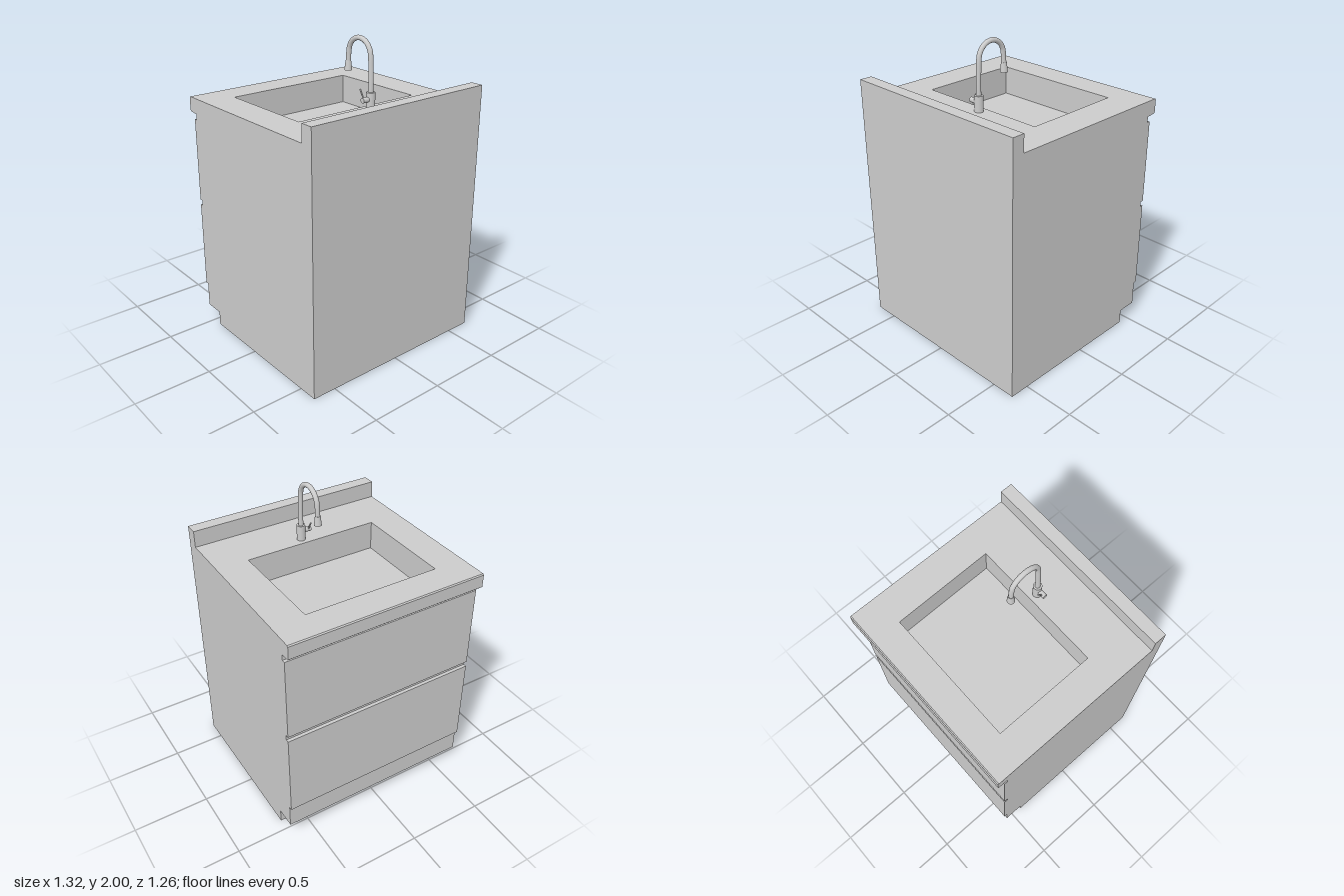
import * as THREE from 'three';

const material = new THREE.MeshStandardMaterial({ color: 0xcccccc, side: THREE.DoubleSide });
const HALF = 0.658, TOP = 1.577;

function add(group, name, geometry) {
  const mesh = new THREE.Mesh(geometry, material);
  mesh.name = name;
  group.add(mesh);
  return mesh;
}

// Flat-shaded surface from a list of four-cornered faces
function quads(faces) {
  const pos = faces.flatMap(([a, b, c, d]) => [a, b, c, a, c, d].flat());
  const g = new THREE.BufferGeometry();
  g.setAttribute('position', new THREE.Float32BufferAttribute(pos, 3));
  g.computeVertexNormals();
  return g;
}

// Side outline as [z, y], from the floor at the wall round to the toe kick
const profile = [
  [0.63, 0], [0.63, 1.687], [0.547, 1.687], [0.547, TOP],
  [-0.62, TOP], [-0.627, 1.57], [-0.627, 1.487], [-0.62, 1.48],
  [-0.558, 1.475], [-0.558, 1.437], [-0.58, 1.437], [-0.58, 0.884],
  [-0.558, 0.884], [-0.558, 0.848], [-0.58, 0.848], [-0.58, 0.26],
  [-0.558, 0.26], [-0.558, 0.095], [-0.426, 0.095], [-0.426, 0],
];
const COUNTER_SEGMENT = 3;

// Basin opening corners as [x, z]
const opening = [[-0.447, 0.24], [0.447, 0.24], [0.44, -0.43], [-0.45, -0.43]];

function cabinet() {
  const group = new THREE.Group();
  group.name = 'cabinet';

  // Back, splashback, counter edge, drawer fronts and toe kick; open underneath
  const faces = [];
  for (let i = 0; i < profile.length - 1; i++) {
    if (i === COUNTER_SEGMENT) continue;
    const [z0, y0] = profile[i], [z1, y1] = profile[i + 1];
    faces.push([[-HALF, y0, z0], [HALF, y0, z0], [HALF, y1, z1], [-HALF, y1, z1]]);
  }
  add(group, 'backAndDrawerFronts', quads(faces));

  // Side panels
  for (const s of [-1, 1]) {
    const shape = new THREE.Shape(profile.map(([z, y]) => new THREE.Vector2(-s * z, y)));
    const g = new THREE.ShapeGeometry(shape).rotateY(s * Math.PI / 2).translate(s * HALF, 0, 0);
    add(group, s < 0 ? 'rightSidePanel' : 'leftSidePanel', g);
  }

  // Counter with the basin cut out
  const counter = new THREE.Shape([[-HALF, 0.547], [HALF, 0.547], [HALF, -0.62], [-HALF, -0.62]]
    .map(([x, z]) => new THREE.Vector2(x, -z)));
  counter.holes.push(new THREE.Path(opening.map(([x, z]) => new THREE.Vector2(x, -z))));
  add(group, 'counterTop', new THREE.ShapeGeometry(counter).rotateX(-Math.PI / 2).translate(0, TOP, 0));
  return group;
}

function basin() {
  const floorY = TOP - 0.19;
  const at = ([x, z], y) => [x, y, z];
  const faces = opening.map((p, i) => {
    const q = opening[(i + 1) % 4];
    return [at(p, TOP), at(q, TOP), at(q, floorY), at(p, floorY)];
  });
  faces.push(opening.map((p) => at(p, floorY)));
  return quads(faces);
}

function faucet() {
  const group = new THREE.Group();
  group.name = 'faucet';
  group.position.set(0.048, TOP, 0.295);

  add(group, 'faucetBody', new THREE.CylinderGeometry(0.027, 0.028, 0.1, 32)).position.y = 0.05;

  // Gooseneck spout, reaching over the basin
  const points = [[0.09, 0], [0.17, 0], [0.25, -0.003]];
  for (let i = 0; i <= 8; i++) {
    const a = Math.PI * i / 8;
    points.push([0.308 + 0.1 * Math.sin(a), -0.105 + 0.099 * Math.cos(a)]);
  }
  points.push([0.25, -0.207]);
  const path = new THREE.CatmullRomCurve3(points.map(([y, z]) => new THREE.Vector3(0, y, z)));
  add(group, 'spout', new THREE.TubeGeometry(path, 64, 0.0155, 20));

  // Flared spray head
  add(group, 'sprayHead', new THREE.CylinderGeometry(0.017, 0.024, 0.06, 32))
    .position.set(0, 0.226, -0.208);

  // Side valve and its lever
  const valve = add(group, 'valve', new THREE.CylinderGeometry(0.016, 0.016, 0.05, 24));
  valve.rotation.z = Math.PI / 2;
  valve.position.set(-0.041, 0.058, 0);
  const lever = new THREE.LineCurve3(new THREE.Vector3(-0.048, 0.062, -0.008), new THREE.Vector3(-0.048, 0.115, -0.04));
  add(group, 'lever', new THREE.TubeGeometry(lever, 1, 0.005, 12));
  const tip = add(group, 'leverTip', new THREE.SphereGeometry(0.005, 12, 8));
  tip.position.copy(lever.v2);
  return group;
}

export function createModel() {
  const model = new THREE.Group();
  model.name = 'sinkCabinet';
  model.add(cabinet());
  add(model, 'basin', basin());
  model.add(faucet());
  return model;
}
